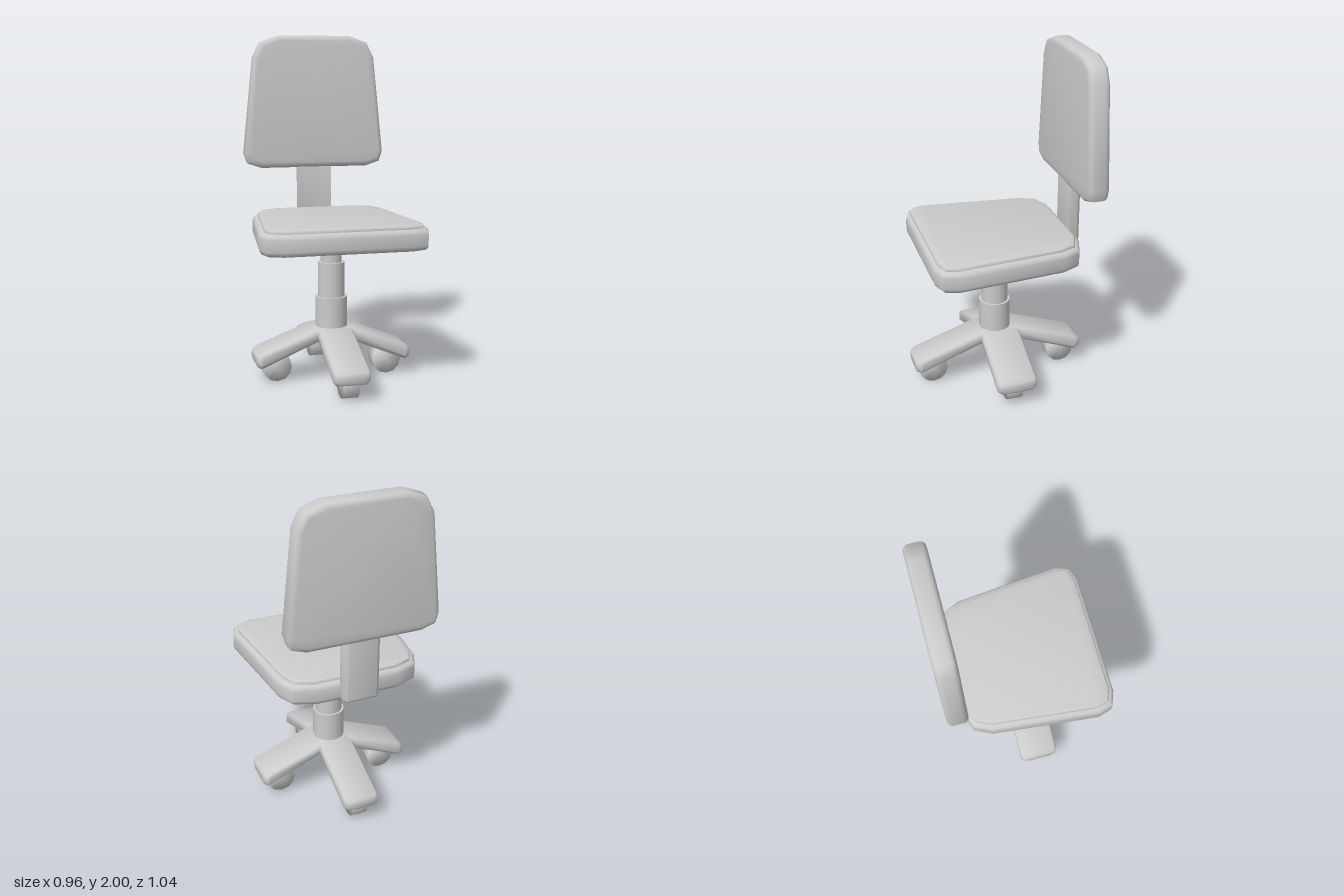
import * as THREE from 'three';
import { toCreasedNormals, mergeVertices } from 'three/addons/utils/BufferGeometryUtils.js';

const grey = new THREE.MeshStandardMaterial({ color: 0xcccccc });

function part(name, geometry, x = 0, y = 0, z = 0) {
  const mesh = new THREE.Mesh(geometry, grey);
  mesh.name = name;
  mesh.position.set(x, y, z);
  return mesh;
}

// Bevelled cushion from the right half of a symmetric outline, from z = 0 to z = depth
function slab(half, depth, bevel, segments = 3) {
  const points = [...half, ...half.map(([x, y]) => [-x, y]).reverse()];
  const shape = new THREE.Shape(points.map(([x, y]) => new THREE.Vector2(x, y)));
  const geometry = new THREE.ExtrudeGeometry(shape, {
    depth: depth - 2 * bevel, bevelThickness: bevel, bevelSize: bevel,
    bevelOffset: -bevel, bevelSegments: segments,
  });
  geometry.translate(0, 0, bevel);
  return toCreasedNormals(geometry, 0.8);
}

// The same slab laid flat: outline y becomes z, top face at y = 0
const flatSlab = (...args) => slab(...args).rotateX(Math.PI / 2);

// Sloping leg along +x, lofted through bevelled cross-sections
function legGeometry() {
  const stations = [ // x, half width, top, bottom
    [0, 0.104, 0.31, 0.235], [0.1, 0.104, 0.31, 0.235],
    [0.43, 0.104, 0.182, 0.096], [0.452, 0.095, 0.17, 0.105], [0.46, 0.08, 0.16, 0.118],
  ];
  const n = 8, positions = [], index = [];
  for (const [x, w, top, bottom] of stations) {
    const t = 0.012, b = 0.02;
    const ring = [
      [top, -w + t], [top, w - t], [top - t, w], [bottom + b, w],
      [bottom, w - b], [bottom, -w + b], [bottom + b, -w], [top - t, -w],
    ];
    for (const [y, z] of ring) positions.push(x, y, z);
  }
  for (let i = 0; i < stations.length - 1; i++) {
    for (let j = 0; j < n; j++) {
      const a = i * n + j, b = i * n + (j + 1) % n;
      index.push(a, b, b + n, a, b + n, a + n);
    }
  }
  const last = (stations.length - 1) * n;
  for (let j = 1; j < n - 1; j++) index.push(last, last + j, last + j + 1);
  const geometry = new THREE.BufferGeometry();
  geometry.setAttribute('position', new THREE.Float32BufferAttribute(positions, 3));
  geometry.setIndex(index);
  return toCreasedNormals(geometry, 0.9);
}

// Short cylinder with normals blended over its rims
function wheelGeometry() {
  const geometry = new THREE.CylinderGeometry(0.085, 0.085, 0.09, 12).rotateX(Math.PI / 2);
  geometry.deleteAttribute('uv');
  geometry.deleteAttribute('normal');
  const merged = mergeVertices(geometry);
  merged.computeVertexNormals();
  return merged;
}

export function createModel() {
  const chair = new THREE.Group();
  chair.name = 'officeChair';

  // Seat with a raised top pad
  const seat = [[0.365, 0.456], [0.45, 0.425], [0.478, 0.34], [0.415, -0.28], [0.368, -0.38], [0.24, -0.428]];
  const pad = [[0.355, 0.43], [0.427, 0.403], [0.448, 0.335], [0.386, -0.27], [0.345, -0.36], [0.24, -0.4]];
  chair.add(part('seat', flatSlab(seat, 0.124, 0.03), 0, 0.935));
  chair.add(part('seatPad', flatSlab(pad, 0.04, 0.014, 2), 0, 0.955));

  // Backrest and the bar that carries it
  const back = [[0.33, 1.2], [0.415, 1.228], [0.435, 1.29], [0.375, 1.87], [0.33, 1.96], [0.22, 2]];
  chair.add(part('backrest', slab(back, 0.12, 0.03), 0, 0, -0.52));
  const bar = [[0.105, -0.42], [0.105, -0.465], [0.085, -0.485]];
  chair.add(part('backSupport', flatSlab(bar, 0.43, 0.018), 0, 1.25));

  // Telescoping column: radius, bottom, top
  const column = [[0.062, 0.66, 0.83], [0.079, 0.46, 0.69], [0.093, 0.28, 0.488]];
  column.forEach(([r, y0, y1], i) => {
    const tube = new THREE.CylinderGeometry(r, r, y1 - y0, 16);
    chair.add(part(`columnStage${i + 1}`, tube, 0, (y0 + y1) / 2, 0.008));
  });

  // Four-legged base, a little longer from front to back
  const base = new THREE.Group();
  base.name = 'base';
  base.scale.z = 1.13;
  const leg = legGeometry(), wheel = wheelGeometry();
  for (let i = 0; i < 4; i++) {
    const angle = i * Math.PI / 2;
    const legMesh = part('leg', leg);
    legMesh.rotation.y = angle;
    base.add(legMesh);

    // Wheels roll in line with their legs
    const wheelMesh = part('wheel', wheel, 0.33 * Math.cos(angle), 0.085, -0.403 * Math.sin(angle));
    wheelMesh.rotation.y = angle;
    chair.add(wheelMesh);
  }
  chair.add(base);
  return chair;
}
